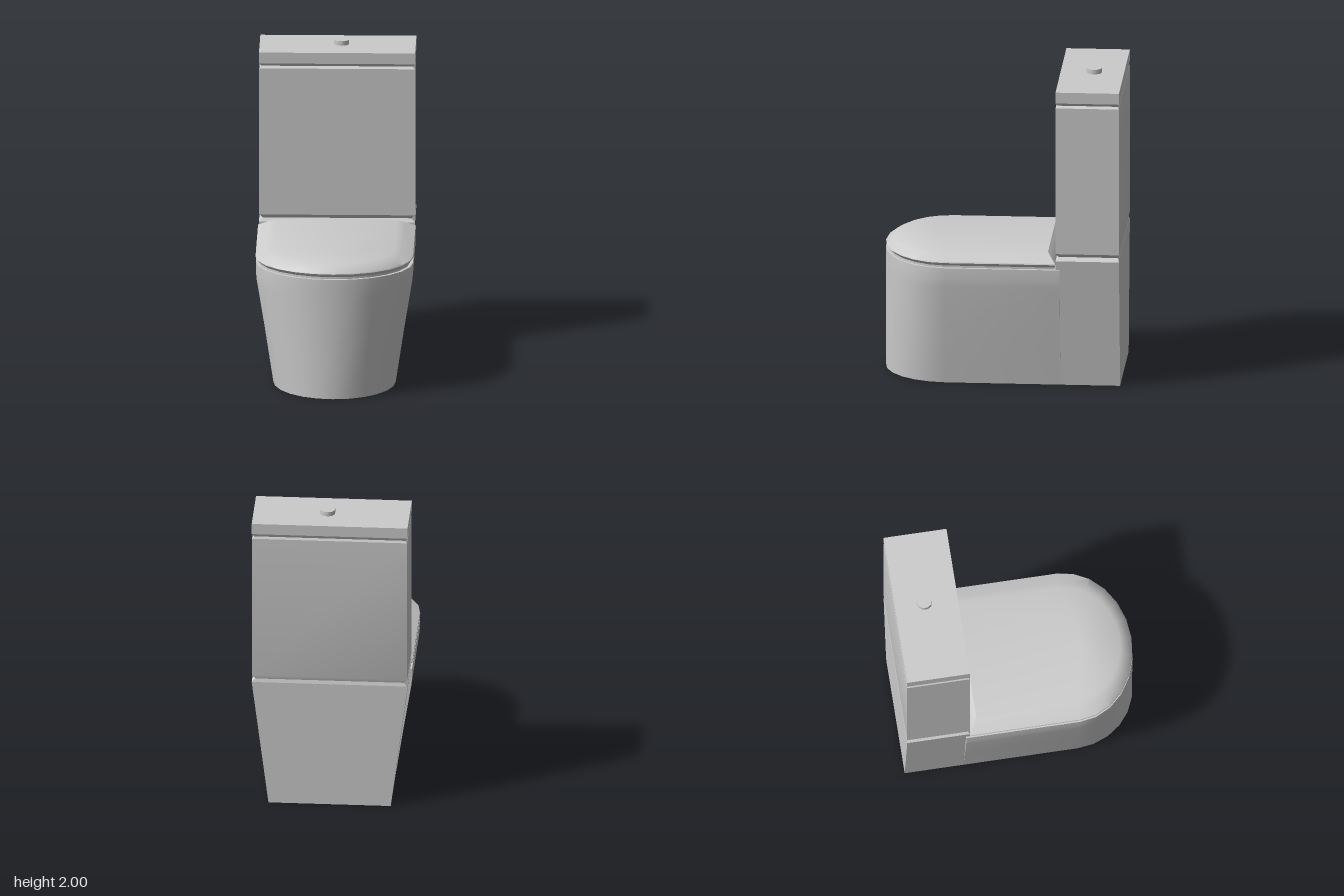
import * as THREE from 'three';
import { toCreasedNormals } from 'three/addons/utils/BufferGeometryUtils.js';

const material = new THREE.MeshStandardMaterial({ color: 0xcccccc });

// Rectangular cross-section
const rectRing = (y, w, zb, zf) =>
  [[w, zb], [w, zf], [-w, zf], [-w, zb]].map(([x, z]) => new THREE.Vector3(x, y, z));

// D-shaped cross-section: straight back and sides, half-ellipse front
function dRing(y, w, zb, zf, zMid = 0.35, segments = 12) {
  const ring = [new THREE.Vector3(w, y, zb)];
  for (let i = 0; i <= segments; i++) {
    const a = (i / segments) * Math.PI;
    ring.push(new THREE.Vector3(w * Math.cos(a), y, zMid + (zf - zMid) * Math.sin(a)));
  }
  ring.push(new THREE.Vector3(-w, y, zb));
  return ring;
}

// Closed solid through a stack of rings, from bottom to top
function loft(name, rings, crease = 0.7) {
  const pos = [];
  const tri = (...pts) => pts.forEach((p) => pos.push(p.x, p.y, p.z));
  const n = rings[0].length;
  const centre = (ring) => ring.reduce((s, p) => s.add(p), new THREE.Vector3()).divideScalar(n);
  const bottom = rings[0], top = rings[rings.length - 1];
  const cb = centre(bottom), ct = centre(top);
  for (let j = 0; j < n; j++) {
    const k = (j + 1) % n;
    for (let i = 0; i < rings.length - 1; i++) {
      const lo = rings[i], hi = rings[i + 1];
      tri(lo[j], hi[j], lo[k]);
      tri(lo[k], hi[j], hi[k]);
    }
    tri(cb, bottom[j], bottom[k]);
    tri(ct, top[k], top[j]);
  }
  const geometry = new THREE.BufferGeometry();
  geometry.setAttribute('position', new THREE.Float32BufferAttribute(pos, 3));
  const mesh = new THREE.Mesh(toCreasedNormals(geometry, crease), material);
  mesh.name = name;
  return mesh;
}

export function createModel() {
  const group = new THREE.Group();
  group.name = 'toilet';

  // Bowl: sides flare upward while the front stays upright
  const bowlLevels = [[0, 0.39], [0.35, 0.443], [0.67, 0.495], [0.72, 0.5], [0.79, 0.5]];
  group.add(loft('bowl', bowlLevels.map(([y, w]) => dRing(y, w, -0.38, 0.76))));

  // Seat lid: undercut rim, then a soft bevel to the flat top
  group.add(loft('seatLid', [
    dRing(0.785, 0.48, -0.345, 0.74),
    dRing(0.803, 0.48, -0.345, 0.74),
    dRing(0.825, 0.503, -0.355, 0.76),
    dRing(0.832, 0.5, -0.353, 0.757),
    dRing(0.865, 0.43, -0.317, 0.71),
    dRing(0.88, 0.385, -0.3, 0.685),
  ]));

  // Tapered block behind the bowl that carries the tank
  group.add(loft('rearPedestal', [
    rectRing(0, 0.39, -0.76, -0.355),
    rectRing(0.85, 0.497, -0.76, -0.355),
    rectRing(0.875, 0.47, -0.752, -0.375),
  ], 0.3));

  // Tank with chamfered lower and upper edges
  group.add(loft('tank', [
    rectRing(0.87, 0.47, -0.752, -0.375),
    rectRing(0.897, 0.495, -0.76, -0.355),
    rectRing(1.865, 0.495, -0.76, -0.355),
    rectRing(1.88, 0.48, -0.752, -0.37),
  ], 0.3));

  // Tank lid
  group.add(loft('tankLid', [
    rectRing(1.878, 0.48, -0.752, -0.37),
    rectRing(1.898, 0.497, -0.76, -0.355),
    rectRing(1.97, 0.497, -0.76, -0.355),
  ], 0.3));

  // Flush button
  const button = new THREE.Mesh(
    toCreasedNormals(new THREE.CylinderGeometry(0.05, 0.05, 0.05, 10), 0.8), material);
  button.name = 'flushButton';
  button.position.set(0.025, 1.975, -0.57);
  group.add(button);

  return group;
}
